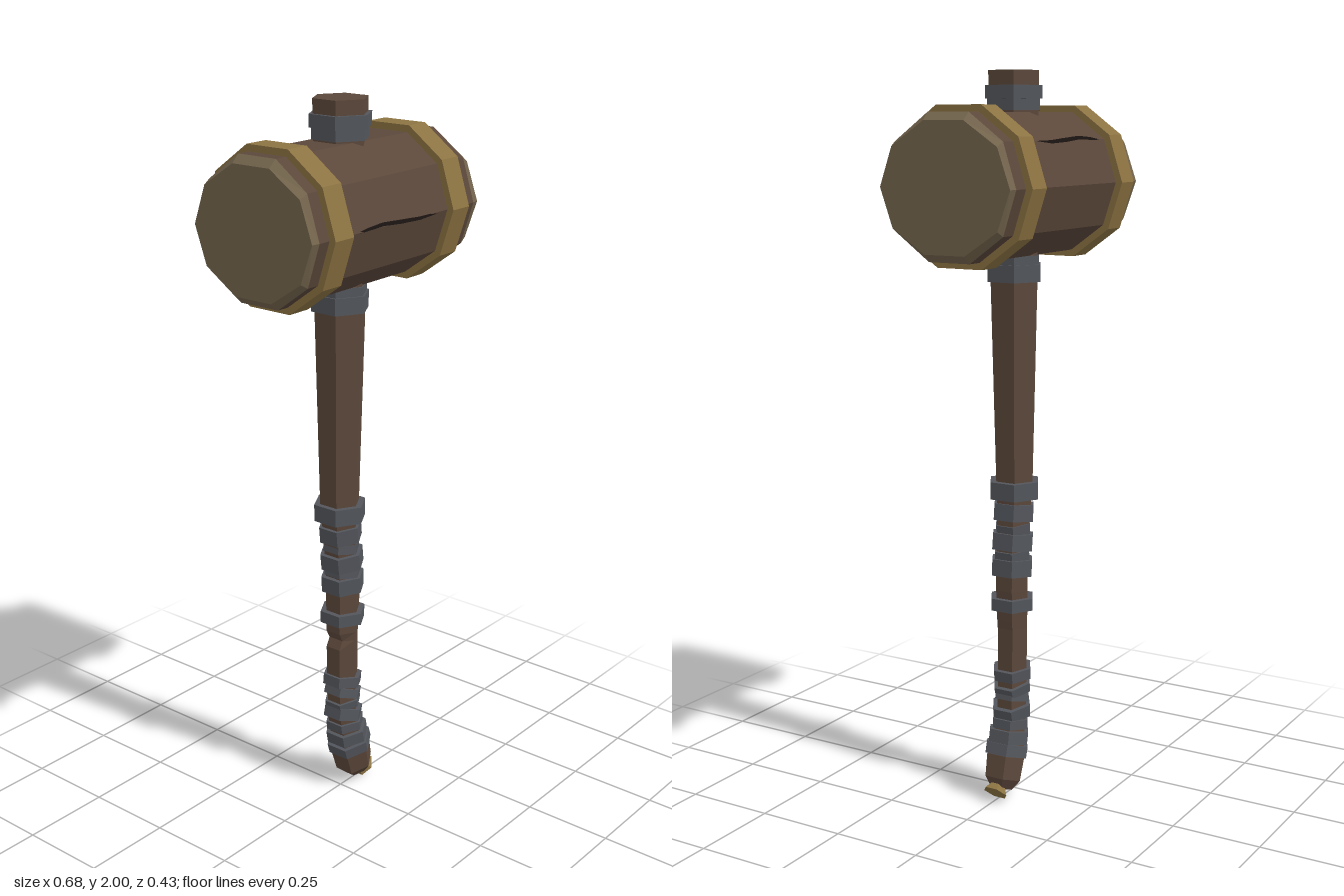
import * as THREE from 'three';

const flat = (name, color) => {
  const m = new THREE.MeshStandardMaterial({ color });
  m.name = name;
  m.flatShading = true;
  return m;
};

// Skin a list of rings (equal point counts) into a closed, faceted solid.
function loft(rings) {
  const pos = [];
  const tri = (...pts) => pts.forEach((p) => pos.push(p.x, p.y, p.z));
  const n = rings[0].length;
  for (let k = 0; k < rings.length - 1; k++) {
    const a = rings[k], b = rings[k + 1];
    for (let i = 0; i < n; i++) {
      const j = (i + 1) % n;
      tri(a[i], a[j], b[j]);
      tri(a[i], b[j], b[i]);
    }
  }
  const first = rings[0], last = rings[rings.length - 1];
  for (let i = 1; i < n - 1; i++) {
    tri(first[0], first[i + 1], first[i]);
    tri(last[0], last[i], last[i + 1]);
  }
  const g = new THREE.BufferGeometry();
  g.setAttribute('position', new THREE.Float32BufferAttribute(pos, 3));
  g.computeVertexNormals();
  return g;
}

// Hexagon around the handle axis, tilted about z; dent pushes the -x flat inward.
function hexRing(x, y, r, tilt = 0, dent = 0) {
  return Array.from({ length: 6 }, (_, i) => {
    const t = (i * Math.PI) / 3;
    let u = r * Math.sin(t);
    if (u < -0.01) u += dent;
    return new THREE.Vector3(x + u * Math.cos(tilt), y + u * Math.sin(tilt), r * Math.cos(t));
  });
}

// Polygon around the x axis.
function xRing(n, x, r, cy, cz = 0, sy = 1, sz = 1) {
  return Array.from({ length: n }, (_, i) => {
    const t = ((i + 0.5) * 2 * Math.PI) / n;
    return new THREE.Vector3(x, cy + sy * r * Math.cos(t), cz + sz * r * Math.sin(t));
  });
}

export function createModel() {
  const wood = flat('dark wood', 0x5c483b);
  const endGrain = flat('end grain wood', 0x74654d);
  const brass = flat('aged brass', 0x8c7342);
  const iron = flat('grey iron', 0x53565c);
  const dark = flat('crack shadow', 0x1c1613);

  const group = new THREE.Group();
  group.name = 'mallet';
  const add = (name, geometry, material, parent = group) => {
    const m = new THREE.Mesh(geometry, material);
    m.name = name;
    parent.add(m);
    return m;
  };

  // Head: ten-sided barrel with worn, chamfered end grain
  const HY = 1.708, R = 0.195;
  const head = new THREE.Group();
  head.name = 'head';
  group.add(head);
  add('barrel', loft([xRing(10, -0.317, R, HY), xRing(10, 0.317, R, HY)]), wood, head);
  const worn = (x) => xRing(10, x, R, HY, 0, 0.89, 0.98);
  add('rightEnd', loft([worn(-0.34), xRing(10, -0.317, R, HY)]), endGrain, head);
  add('leftEnd', loft([xRing(10, 0.317, R, HY), worn(0.34)]), endGrain, head);
  for (const [name, x] of [['rightHoop', -0.28], ['leftHoop', 0.2]]) {
    add(name, loft([xRing(10, x, 0.214, HY), xRing(10, x + 0.07, 0.214, HY)]), brass, head);
  }

  // Long cracks on the front ridge and the upper back ridge
  const crack = [[-0.21, -0.004, 0.001], [-0.13, 0.003, 0.005], [-0.07, 0.006, 0.006],
    [0, 0.001, 0.007], [0.08, -0.003, 0.006], [0.2, -0.001, 0.001]];
  for (const [name, cy, cz] of [['frontCrack', HY, 0.192], ['backCrack', HY + 0.114, -0.156]]) {
    add(name, loft(crack.map(([x, dy, r]) => xRing(4, x, r, cy + dy, cz))), dark, head);
  }

  // Handle sections, bottom to top: x, y, radius, tilt, dent
  const path = [
    [0.069, 0.03, 0.034, 0.33], [0.062, 0.058, 0.056, 0.33], [0.045, 0.12, 0.06, 0.3],
    [0.03, 0.17, 0.05, 0.22], [0.012, 0.24, 0.046, 0.08], [0.008, 0.36, 0.046, 0],
    [0.007, 0.465, 0.047, 0], [0.007, 0.49, 0.047, 0, 0.013], [0.008, 0.515, 0.048, 0],
    [0.01, 0.6, 0.05, 0], [0.009, 0.7, 0.05, 0.05], [0.0, 0.82, 0.052, 0.04],
    [-0.004, 0.9, 0.057, 0], [-0.002, 1.46, 0.072, 0], [0, 1.9, 0.074, 0], [0, 2, 0.076, 0],
  ];
  add('handle', loft(path.map((s) => hexRing(...s))), wood);

  // Axis x of the handle at a height
  const axisX = (y) => {
    const k = Math.max(1, path.findIndex((s) => s[1] >= y));
    const a = path[k - 1], b = path[k];
    return THREE.MathUtils.lerp(a[0], b[0], (y - a[1]) / (b[1] - a[1]));
  };
  const band = (name, y, h, r, tilt = 0) => {
    const c = axisX(y), dx = (Math.sin(tilt) * h) / 2, dy = (Math.cos(tilt) * h) / 2;
    add(name, loft([hexRing(c + dx, y - dy, r, tilt), hexRing(c - dx, y + dy, r, tilt)]), iron);
  };

  // Iron collars above and below the head, and at the top of the grip
  band('topCollar', 1.945, 0.034, 0.086);
  band('topCollarNeck', 1.915, 0.034, 0.079);
  band('lowerCollarNeck', 1.505, 0.034, 0.076);
  band('lowerCollar', 1.475, 0.046, 0.081);
  band('gripCollar', 0.882, 0.048, 0.075);

  // Grip wraps: y, height, radius, tilt
  [
    [0.818, 0.046, 0.062, 0.1], [0.774, 0.03, 0.053, -0.12], [0.735, 0.046, 0.063, 0.12],
    [0.7, 0.03, 0.054, -0.1], [0.664, 0.046, 0.063, 0.06], [0.561, 0.034, 0.066, 0],
    [0.358, 0.03, 0.058, -0.12], [0.318, 0.026, 0.056, -0.3], [0.288, 0.022, 0.053, 0.2],
    [0.25, 0.034, 0.058, -0.22], [0.212, 0.026, 0.056, 0.1], [0.174, 0.036, 0.062, 0.2],
    [0.137, 0.032, 0.066, 0.3],
  ].forEach((w, i) => band('gripWrap' + (i + 1), ...w));

  // Flared brass stud under the pommel
  const stud = add('pommelStud', new THREE.CylinderGeometry(0.01, 0.036, 0.042, 6), brass);
  stud.position.set(0.087, 0.041, 0);
  stud.rotation.z = 0.78;
  return group;
}
